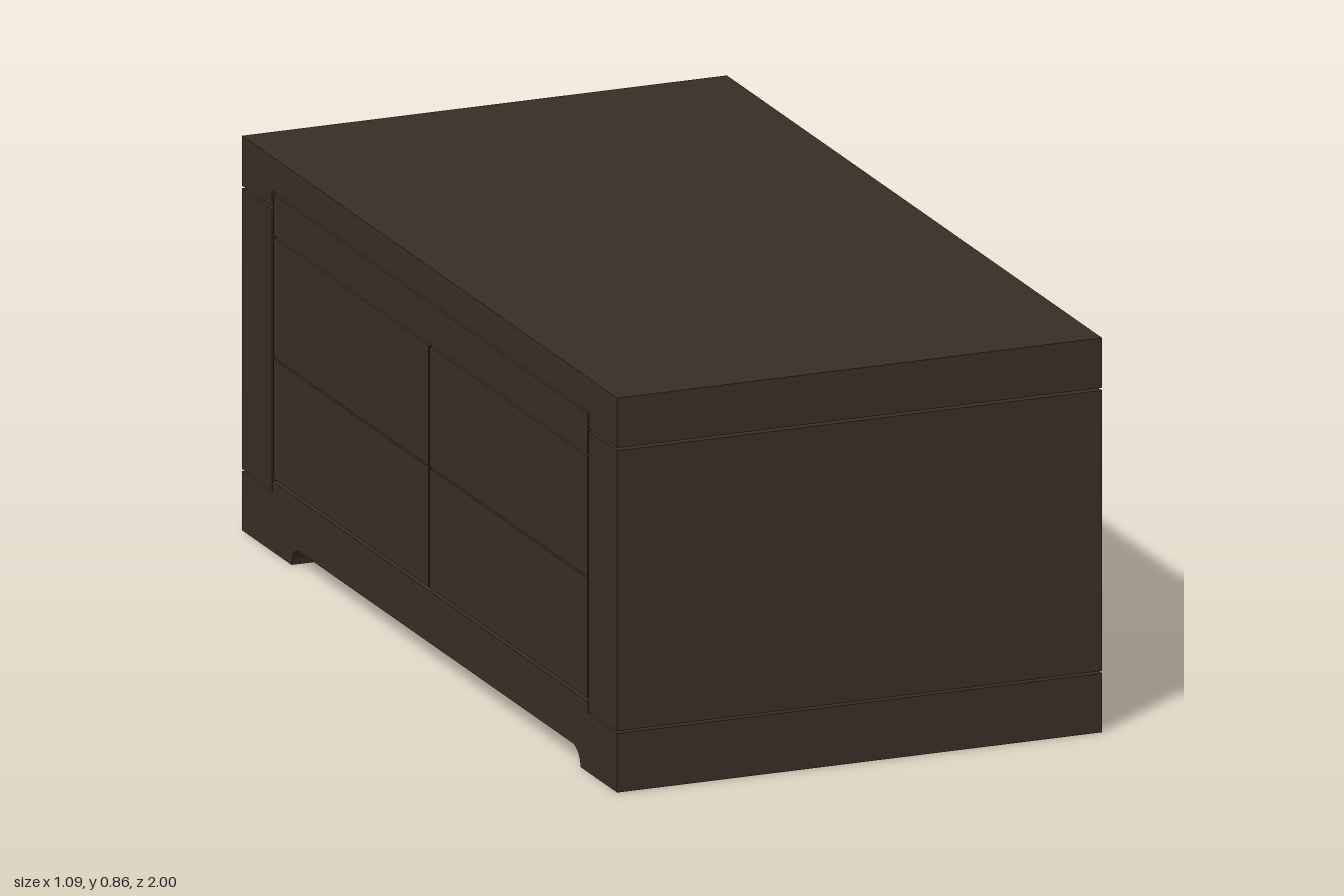
import * as THREE from 'three';

const WIDTH = 1.09;

export function createModel() {
  const wood = new THREE.MeshStandardMaterial({ color: 0x382e25 });
  wood.name = 'darkWood';
  const chest = new THREE.Group();
  chest.name = 'chest';

  // Extrudes a side profile across the full width; profile x runs towards -z
  const addProfile = (name, shape) => {
    const geometry = new THREE.ExtrudeGeometry(shape, { depth: WIDTH, bevelEnabled: false, curveSegments: 8 });
    geometry.translate(0, 0, -WIDTH / 2).rotateY(Math.PI / 2);
    const mesh = new THREE.Mesh(geometry, wood);
    mesh.name = name;
    chest.add(mesh);
  };

  // Full-width block between two depths and two heights
  const addBlock = (name, z0, z1, y0, y1) => {
    const mesh = new THREE.Mesh(new THREE.BoxGeometry(WIDTH, y1 - y0, z1 - z0), wood);
    mesh.position.set(0, (y0 + y1) / 2, (z0 + z1) / 2);
    mesh.name = name;
    chest.add(mesh);
  };

  // Lid with a shallow recess above the drawers
  addProfile('lid', new THREE.Shape([
    [-1, 0.855], [-1, 0.747], [-0.85, 0.747], [-0.85, 0.781],
    [0.84, 0.781], [0.84, 0.747], [1, 0.747], [1, 0.855],
  ].map(([x, y]) => new THREE.Vector2(x, y))));

  // Plinth with a low rounded arch between its feet
  const plinth = new THREE.Shape();
  plinth.moveTo(-1, 0);
  plinth.lineTo(-0.805, 0);
  plinth.quadraticCurveTo(-0.8, 0.035, -0.765, 0.04);
  plinth.lineTo(0.7, 0.04);
  plinth.quadraticCurveTo(0.73, 0.035, 0.735, 0);
  plinth.lineTo(1, 0);
  plinth.lineTo(1, 0.128);
  plinth.lineTo(0.838, 0.128);
  plinth.lineTo(0.838, 0.152);
  plinth.lineTo(-0.845, 0.152);
  plinth.lineTo(-0.845, 0.128);
  plinth.lineTo(-1, 0.128);
  plinth.closePath();
  addProfile('plinth', plinth);

  // End walls, separated by narrow grooves
  addBlock('frontWall', 0.848, 1, 0.133, 0.741);
  addBlock('backWall', -1, -0.839, 0.133, 0.741);

  // Rail above two rows of two drawers
  addBlock('topRail', -0.832, 0.842, 0.688, 0.776);
  for (const [y0, y1] of [[0.16, 0.419], [0.423, 0.683]]) {
    addBlock('drawer', 0, 0.843, y0, y1);
    addBlock('drawer', -0.832, -0.005, y0, y1);
  }
  return chest;
}
